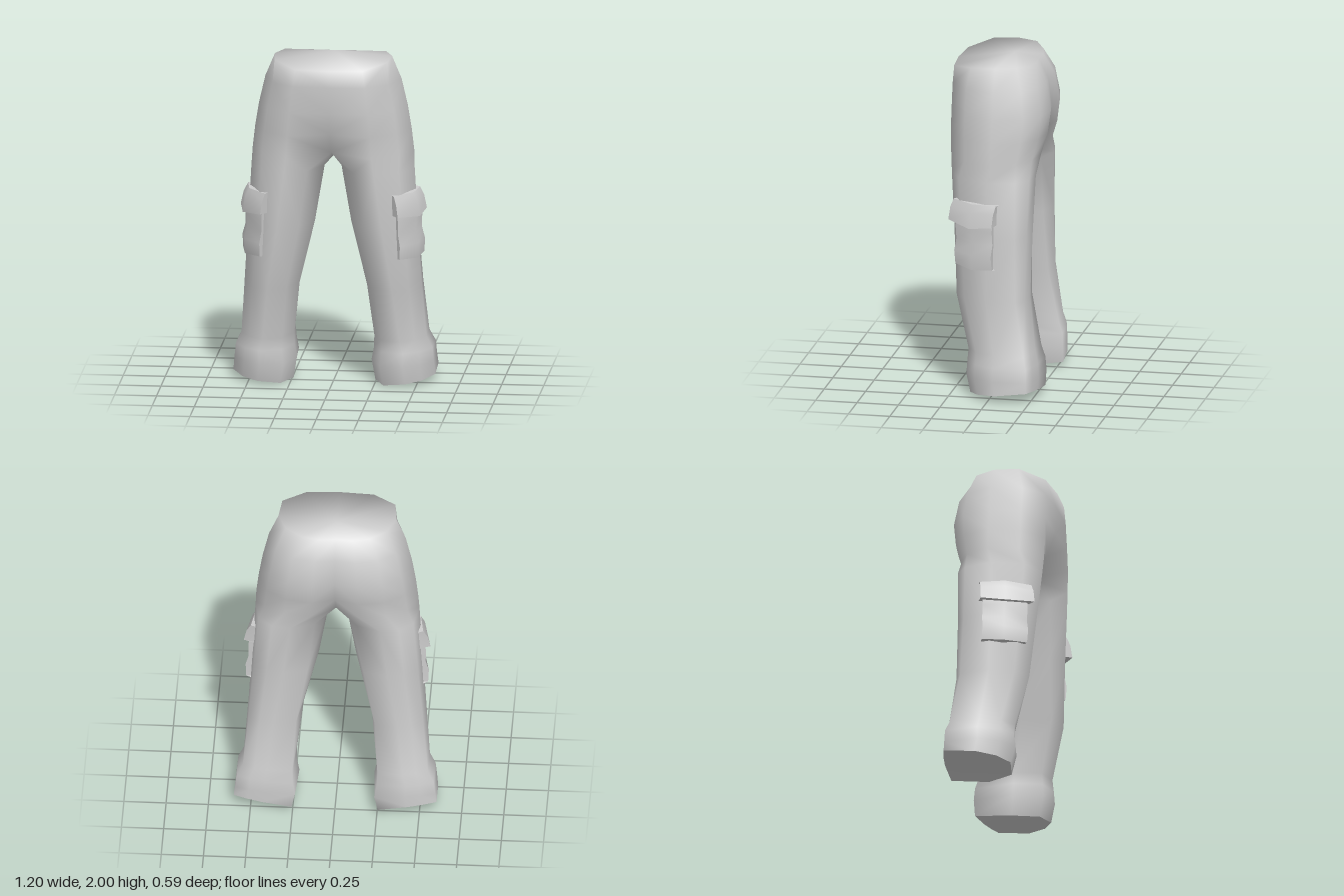
import * as THREE from 'three';
import { toCreasedNormals } from 'three/addons/utils/BufferGeometryUtils.js';

// Surface builder: collects triangles, optionally mirrored to the other side
function makeSurface() {
  const pos = [];
  const tri = (a, b, c, side) => {
    const pts = side > 0 ? [a, b, c] : [a, c, b];
    for (const p of pts) pos.push(p[0] * side, p[1], p[2]);
  };
  return {
    // Skin between descending rings of equal point count
    loft(rings, closed, side) {
      const n = rings[0].length;
      for (let i = 0; i + 1 < rings.length; i++) {
        for (let j = 0; j < (closed ? n : n - 1); j++) {
          const k = (j + 1) % n, r = rings[i], s = rings[i + 1];
          tri(r[j], s[j], r[k], side);
          tri(r[k], s[j], s[k], side);
        }
      }
    },
    // Fan around a centre point; up tells which way it faces
    fan(centre, ring, closed, up, side) {
      const n = ring.length;
      for (let j = 0; j < (closed ? n : n - 1); j++) {
        const a = ring[j], b = ring[(j + 1) % n];
        if (up) tri(centre, a, b, side);
        else tri(centre, b, a, side);
      }
    },
    build(crease) {
      const g = new THREE.BufferGeometry();
      g.setAttribute('position', new THREE.Float32BufferAttribute(pos, 3));
      return toCreasedNormals(g, crease);
    },
  };
}

// Half section of the hips, from front centre round the outside to back centre
const HIP = [[0, 1], [0.53, 0.97], [0.85, 0.6], [1, 0], [0.88, -0.6], [0.63, -0.9], [0.3, -1], [0, -0.93]];
// Leg sections: rounded at the thigh, squarer at the cuff
const THIGH = [[-0.6, 0.75], [0, 1], [0.65, 0.72], [1, 0], [0.88, -0.66], [0.5, -0.93], [0, -1], [-0.65, -0.8], [-1, 0]];
const CUFF = [[-0.65, 0.85], [0.1, 1], [0.62, 0.7], [1, 0.15], [1, -0.76], [0.55, -0.87], [0.05, -0.95], [-0.93, -1], [-1, 0.1]];

// Half of the waist rim, dipping at the front
const WAIST = [
  [0, 1.95, 0.292], [0.2, 1.952, 0.277], [0.335, 1.98, 0.15], [0.348, 1.986, 0],
  [0.3, 1.985, -0.12], [0.2, 1.97, -0.18], [0.1, 1.966, -0.2], [0, 1.966, -0.192],
];

// y, half width, front z, back z, front centre z, back centre z
const HIP_ROWS = [
  [1.85, 0.405, 0.292, -0.264, 0.292, -0.25],
  [1.69, 0.442, 0.295, -0.293, 0.284, -0.27],
  [1.55, 0.465, 0.297, -0.275, 0.225, -0.235],
  [1.42, 0.48, 0.292, -0.236, 0.13, -0.14],
];

// y, inner x, outer x, front z, back z, blend from thigh to cuff section
const LEG_ROWS = [
  [1.32, 0.05, 0.485, 0.277, -0.23, 0],
  [0.98, 0.108, 0.505, 0.252, -0.222, 0.2],
  [0.6, 0.2, 0.527, 0.226, -0.222, 0.5],
  [0.28, 0.238, 0.55, 0.147, -0.265, 0.9],
  [0.21, 0.237, 0.584, 0.15, -0.284, 1],
  [0.13, 0.222, 0.592, 0.157, -0.288, 1],
  [0.018, 0.243, 0.6, 0.13, -0.286, 1],
];

function hipRing([y, w, zf, zb, cf, cb]) {
  const ring = HIP.map(([u, v]) => [u * w, y, v > 0 ? v * zf : -v * zb]);
  ring[0][2] = cf;
  ring[ring.length - 1][2] = cb;
  return ring;
}

function legRing([y, xi, xo, zf, zb, t], hem) {
  return THIGH.map(([u, v], i) => {
    const uu = u + (CUFF[i][0] - u) * t, vv = v + (CUFF[i][1] - v) * t;
    const z = (zf + zb) / 2 + vv * (zf - zb) / 2;
    // The hem rises towards the outside and the back
    const lift = hem ? 0.022 * uu + Math.max(0, -z) * 0.13 : 0;
    return [(xi + xo) / 2 + uu * (xo - xi) / 2, y + lift, z];
  });
}

// Smooth cloth with a rounded-over waist, and separate flat soles
function trouserGeometries() {
  const cloth = makeSurface(), soles = makeSurface();
  const hips = [WAIST, ...HIP_ROWS.map(hipRing)];
  const crotch = [...hips[hips.length - 1], [0, 1.37, -0.02]];
  const legs = LEG_ROWS.map((r, i) => legRing(r, i === LEG_ROWS.length - 1));
  const hem = legs[legs.length - 1];
  const hemCentre = [0, 1, 2].map((k) => hem.reduce((sum, p) => sum + p[k], 0) / hem.length);
  for (const side of [1, -1]) {
    cloth.fan([0, 2, -0.05], WAIST, false, true, side);
    cloth.loft(hips, false, side);
    cloth.loft([crotch, ...legs], true, side);
    soles.fan(hemCentre, hem, true, false, side);
  }
  return [cloth.build(Math.PI), soles.build(0.6)];
}

// Pocket panel that wraps the outer front of the thigh
// rows: y, stand-off from the leg, sag of the middle; trim narrows the panel
function pocketGeometry(rows, trim, side) {
  const base = [[0.495, -0.05 + trim], [0.475, 0.1], [0.375 + trim * 0.6, 0.225 - trim]];
  const out = [[0.95, 0.5], [0.85, 0.4], [0.55, 0.75]];
  const s = makeSurface();
  const rings = rows.map(([y, off, sag]) => {
    const drift = (1.1 - y) * 0.035;
    const at = (i, d) => [
      base[i][0] + out[i][0] * d + drift,
      y - (i === 1 ? sag : 0),
      base[i][1] + out[i][1] * d - drift * 0.6,
    ];
    const root = [base[0][0] - 0.05 + drift, y, base[0][1]];
    return [at(2, -0.05), at(2, off), at(1, off), at(0, off), root];
  });
  s.loft(rings, false, side);
  return s.build(0.85);
}

const POCKET_ROWS = [[1.1, 0.02, 0], [1.03, 0.03, 0], [0.95, 0.025, 0], [0.88, 0.042, 0], [0.8, 0.035, 0.01], [0.79, -0.05, 0.01]];
const FLAP_ROWS = [[1.192, -0.05, 0], [1.187, 0.02, 0], [1.14, 0.045, 0], [1.065, 0.06, 0.02], [1.07, 0.0, 0.02]];

export function createModel() {
  const group = new THREE.Group();
  group.name = 'cargoTrousers';
  const cloth = new THREE.MeshStandardMaterial({ color: 0xcccccc });
  cloth.name = 'grey cloth';
  const add = (name, geometry) => {
    const mesh = new THREE.Mesh(geometry, cloth);
    mesh.name = name;
    group.add(mesh);
  };

  const [trousers, soles] = trouserGeometries();
  add('trousers', trousers);
  add('legEnds', soles);
  for (const [name, side] of [['left', 1], ['right', -1]]) {
    add(name + 'Pocket', pocketGeometry(POCKET_ROWS, 0.02, side));
    add(name + 'PocketFlap', pocketGeometry(FLAP_ROWS, 0, side));
  }
  return group;
}
